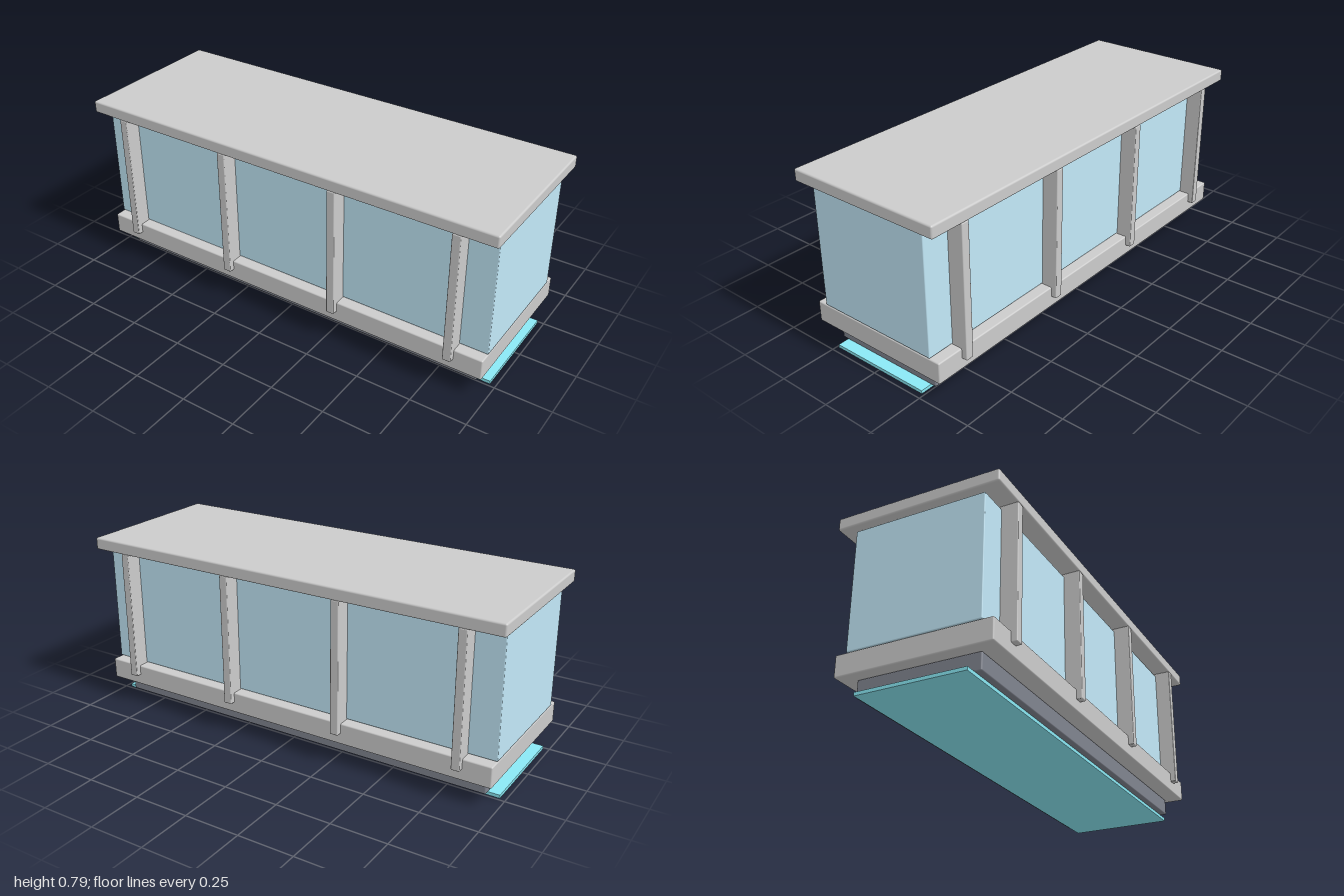
import * as THREE from 'three';
import { RoundedBoxGeometry } from 'three/addons/geometries/RoundedBoxGeometry.js';

const material = (color) => new THREE.MeshStandardMaterial({ color });

export function createModel() {
  const group = new THREE.Group();
  const grey = material(0xcccccc);
  const dark = material(0x80848f);
  const glass = material(0xc2e8f8);
  const cyan = material(0x8ae8f4);

  // Box centred on z, spanning y0 to y1, with softened edges if radius > 0
  function slab(name, width, y0, y1, depth, radius, mat, x = 0) {
    const h = y1 - y0;
    const geometry = radius > 0
      ? new RoundedBoxGeometry(width, h, depth, 2, radius)
      : new THREE.BoxGeometry(width, h, depth);
    const mesh = new THREE.Mesh(geometry, mat);
    mesh.name = name;
    mesh.position.set(x, (y0 + y1) / 2, 0);
    group.add(mesh);
  }

  // Stacked body, from the ground up
  slab('glowStrip', 1.95, 0, 0.015, 0.478, 0, cyan);
  slab('plinth', 1.85, 0.015, 0.091, 0.534, 0.006, dark);
  slab('base', 1.95, 0.093, 0.188, 0.68, 0.006, grey);
  slab('glassBody', 1.95, 0.19, 0.725, 0.584, 0.004, glass);
  slab('roof', 2, 0.737, 0.792, 0.73, 0.008, grey);

  // Ribs running through the full depth, showing as posts front and back
  for (let i = 0; i < 4; i++) {
    slab('rib', 0.038, 0.142, 0.738, 0.73, 0.004, grey, -0.83 + i * (1.66 / 3));
  }

  return group;
}
